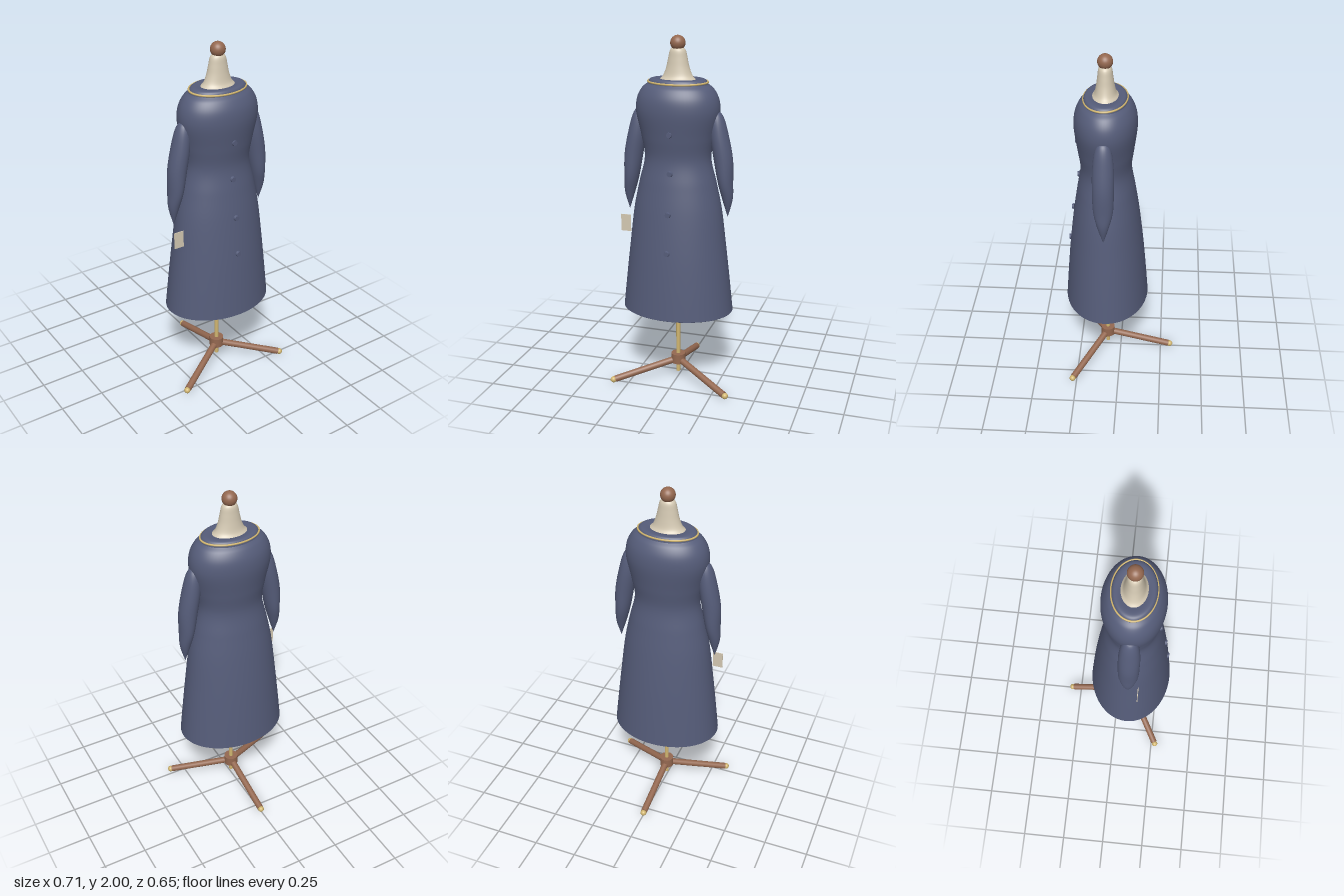
import * as THREE from 'three';

const CZ = 0.08; // depth of the stand's vertical axis

const mat = (name, color, double) => {
  const m = new THREE.MeshStandardMaterial({ color });
  m.name = name;
  if (double) m.side = THREE.DoubleSide;
  return m;
};

// Smooth skin through elliptical sections [y, centreX, rx, rz], listed bottom to top
function loft(sections, steps, seg = 48) {
  const path = new THREE.CatmullRomCurve3(sections.map(s => new THREE.Vector3(s[1], s[0], 0)), false, 'centripetal');
  const size = new THREE.CatmullRomCurve3(sections.map(s => new THREE.Vector3(s[2], s[0], s[3])), false, 'centripetal');
  const pos = [], idx = [];
  for (let i = 0; i <= steps; i++) {
    const c = path.getPoint(i / steps), r = size.getPoint(i / steps);
    for (let j = 0; j < seg; j++) {
      const a = (j / seg) * Math.PI * 2;
      pos.push(c.x + Math.max(r.x, 0.0005) * Math.cos(a), r.y, Math.max(r.z, 0.0005) * Math.sin(a));
      if (i === steps) continue;
      const p = i * seg + j, q = i * seg + ((j + 1) % seg);
      idx.push(p, p + seg, q + seg, p, q + seg, q);
    }
  }
  const g = new THREE.BufferGeometry();
  g.setAttribute('position', new THREE.Float32BufferAttribute(pos, 3));
  g.setIndex(idx);
  g.computeVertexNormals();
  return g;
}

export function createModel() {
  const cloth = mat('navy cloth', 0x555c79, true);
  const linen = mat('cream linen', 0xd3c8b2, true);
  const wood = mat('brown wood', 0x946850);
  const brass = mat('brass', 0xd0b570);

  const model = new THREE.Group();
  model.name = 'coatOnStand';
  const body = new THREE.Group(); // everything centred on the pole
  body.name = 'stand';
  body.position.z = CZ;
  model.add(body);

  const add = (name, geo, material, x = 0, y = 0, z = 0) => {
    const m = new THREE.Mesh(geo, material);
    m.name = name;
    m.position.set(x, y, z);
    body.add(m);
    return m;
  };

  // Coat body, open at the hem
  add('coat', loft([
    [0.455, 0, 0.318, 0.241],
    [0.65, 0, 0.297, 0.226],
    [0.84, 0, 0.275, 0.209],
    [1.055, 0, 0.248, 0.184],
    [1.20, 0, 0.218, 0.162],
    [1.34, 0, 0.187, 0.141],
    [1.46, 0, 0.205, 0.155],
    [1.60, 0, 0.234, 0.171],
    [1.67, 0, 0.225, 0.164],
    [1.72, 0, 0.197, 0.141],
    [1.745, 0, 0.165, 0.116],
  ], 80, 64), cloth);

  // Rolled hem
  const hem = add('hem', new THREE.TorusGeometry(1, 0.012, 8, 64), cloth, 0, 0.457, 0);
  hem.rotation.x = Math.PI / 2;
  hem.scale.set(0.314, 0.237, 0.4);

  // Collar, closing in to the neck
  add('collar', loft([
    [1.735, 0, 0.170, 0.120],
    [1.757, 0, 0.162, 0.115],
    [1.768, 0, 0.150, 0.107],
    [1.771, 0, 0.125, 0.089],
    [1.765, 0, 0.085, 0.060],
  ], 16, 64), cloth);

  // Brass piping around the collar
  const piping = add('collarPiping', new THREE.TorusGeometry(0.165, 0.0055, 10, 72), brass, 0, 1.754, 0);
  piping.rotation.x = Math.PI / 2 + 0.03;
  piping.scale.y = 0.715;

  // Sleeves, rounded at the shoulder and pointed at the cuff
  for (const s of [1, -1]) {
    add(s > 0 ? 'leftSleeve' : 'rightSleeve', loft([
      [1.02, s * 0.287, 0.001, 0.001],
      [1.12, s * 0.284, 0.029, 0.032],
      [1.21, s * 0.272, 0.041, 0.053],
      [1.34, s * 0.258, 0.052, 0.058],
      [1.47, s * 0.235, 0.050, 0.056],
      [1.56, s * 0.222, 0.038, 0.043],
      [1.595, s * 0.218, 0.022, 0.026],
      [1.607, s * 0.216, 0.001, 0.001],
    ], 40, 24), cloth);
  }

  // Front buttons
  for (const [y, z] of [[1.49, 0.160], [1.275, 0.153], [1.055, 0.190], [0.84, 0.213]]) {
    const b = add('button', new THREE.CylinderGeometry(0.014, 0.017, 0.012, 20), cloth, 0, y, z);
    b.rotation.x = Math.PI / 2;
  }

  // Paper tag beside the right cuff
  add('tag', new THREE.BoxGeometry(0.058, 0.097, 0.004), linen, -0.29, 0.948, 0.138 - CZ);

  // Linen neck and wooden knob
  add('neck', loft([
    [1.765, 0, 0.101, 0.071],
    [1.785, 0, 0.082, 0.058],
    [1.83, 0, 0.064, 0.048],
    [1.88, 0, 0.053, 0.041],
    [1.92, 0, 0.043, 0.035],
    [1.936, 0, 0.028, 0.024],
  ], 24, 40), linen);
  add('knob', new THREE.SphereGeometry(0.041, 32, 20), wood, 0, 1.959, 0);

  // Pole and hub
  add('pole', new THREE.CylinderGeometry(0.012, 0.012, 1.71, 20), brass, 0, 0.895, 0);
  add('hub', new THREE.CylinderGeometry(0.041, 0.041, 0.058, 28), wood, 0, 0.126, 0);

  // Three splayed legs with brass feet
  const up = new THREE.Vector3(0, 1, 0);
  for (let i = 0; i < 3; i++) {
    const a = Math.PI / 6 + (i * Math.PI * 2) / 3;
    const foot = new THREE.Vector3(0.387 * Math.cos(a), 0.023, 0.387 * Math.sin(a));
    const top = new THREE.Vector3(0, 0.12, 0);
    const dir = foot.clone().sub(top);
    const leg = add('leg', new THREE.CylinderGeometry(0.019, 0.019, dir.length() - 0.01, 20), wood);
    leg.position.copy(top).addScaledVector(dir, 0.487);
    leg.quaternion.setFromUnitVectors(up, dir.normalize());
    add('foot', new THREE.SphereGeometry(0.018, 20, 14), brass, foot.x, foot.y, foot.z);
  }
  return model;
}
